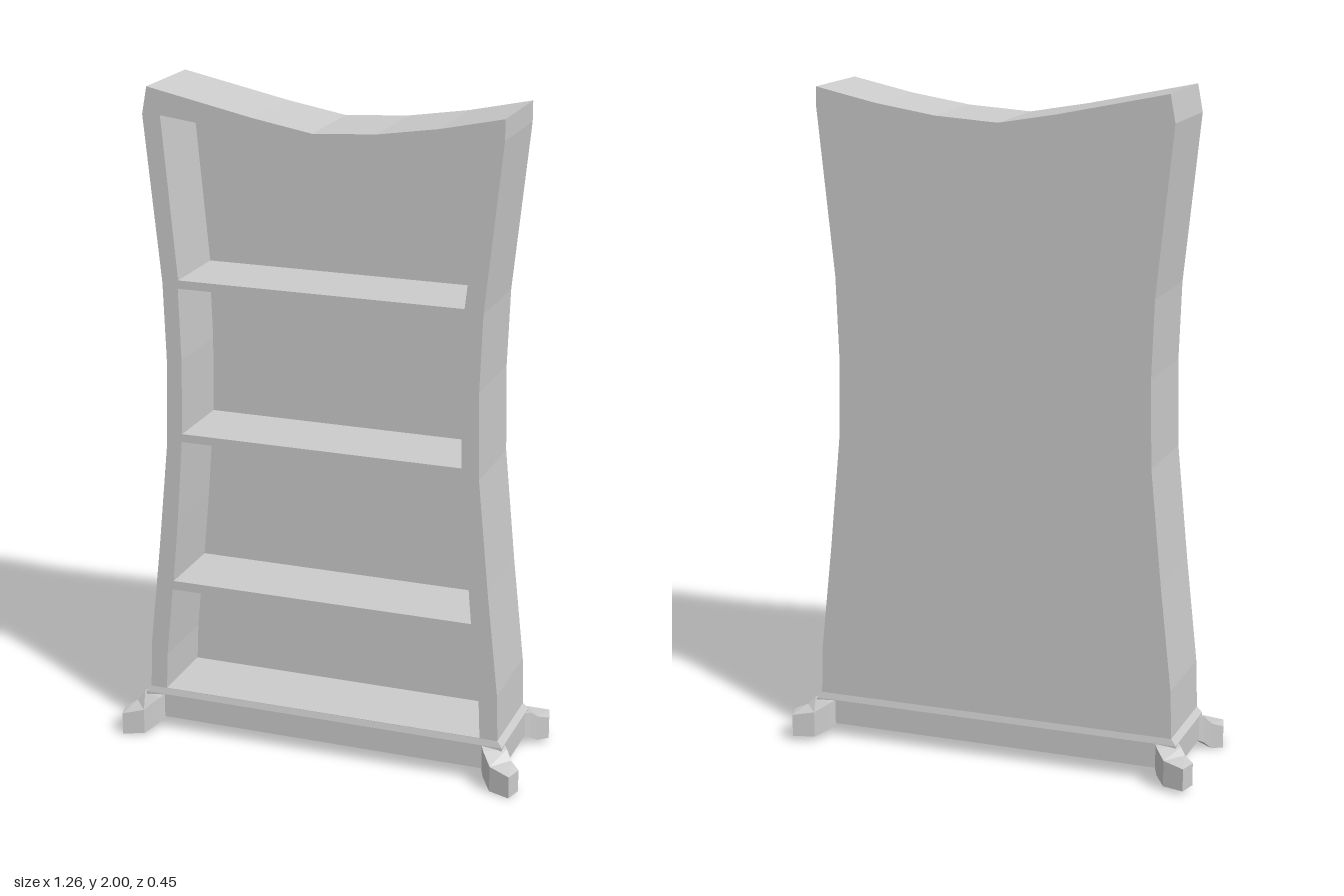
import * as THREE from 'three';

const grey = new THREE.MeshStandardMaterial({ color: 0xcccccc, flatShading: true });

// Closed loft through four-cornered rings, counterclockwise seen from the last ring
function loft(rings, flip = false) {
  const out = [];
  const quad = (a, b, c, d) => (flip ? [a, c, b, a, d, c] : [a, b, c, a, c, d]).forEach(p => out.push(...p));
  for (let r = 0; r + 1 < rings.length; r++) {
    const lo = rings[r], hi = rings[r + 1];
    for (let i = 0; i < 4; i++) {
      const j = (i + 1) % 4;
      quad(lo[i], lo[j], hi[j], hi[i]);
    }
  }
  quad(...[...rings[0]].reverse());
  quad(...rings[rings.length - 1]);
  const g = new THREE.BufferGeometry();
  g.setAttribute('position', new THREE.Float32BufferAttribute(out, 3));
  g.computeVertexNormals();
  return g;
}

const toPoints = list => list.map(([x, y]) => new THREE.Vector2(x, y));

export function createModel() {
  const model = new THREE.Group();
  const add = (name, geometry) => {
    const mesh = new THREE.Mesh(geometry, grey);
    mesh.name = name;
    model.add(mesh);
    return mesh;
  };

  // Waisted outline with a sagging, slightly lopsided top
  const side = [[0.555, 0.13], [0.55, 0.28], [0.515, 0.6], [0.482, 0.94], [0.477, 1.2], [0.485, 1.43], [0.535, 1.92]];
  const top = [[0.535, 1.98], [0.35, 1.94], [0.17, 1.912], [-0.02, 1.9], [-0.2, 1.932], [-0.36, 1.966], [-0.52, 2]];
  const outline = [...side, ...top, ...side.map(([x, y]) => [-x, y]).reverse()];

  // Four openings, leaving the shelves between them
  const openings = [
    [[-0.435, 1.44], [0.43, 1.44], [0.48, 1.89], [0.33, 1.86], [0.17, 1.832], [-0.02, 1.832], [-0.18, 1.86], [-0.36, 1.905], [-0.48, 1.92]],
    [[-0.433, 0.97], [0.43, 0.97], [0.425, 1.2], [0.43, 1.415], [-0.437, 1.415], [-0.43, 1.2]],
    [[-0.472, 0.495], [0.467, 0.495], [0.449, 0.7], [0.432, 0.945], [-0.435, 0.945], [-0.453, 0.7]],
    [[-0.503, 0.135], [0.5, 0.135], [0.495, 0.25], [0.474, 0.467], [-0.476, 0.467], [-0.498, 0.25]],
  ];

  const frameShape = new THREE.Shape(toPoints(outline));
  frameShape.holes = openings.map(o => new THREE.Path(toPoints(o)));
  add('frameAndShelves', new THREE.ExtrudeGeometry(frameShape, { depth: 0.238, bevelEnabled: false }))
    .position.z = -0.1;
  add('backPanel', new THREE.ExtrudeGeometry(new THREE.Shape(toPoints(outline)), { depth: 0.038, bevelEnabled: false }))
    .position.z = -0.138;

  // Plinth with a sloped upper edge
  const level = (x, y, z) => [[-x, y, z], [x, y, z], [x, y, -z], [-x, y, -z]];
  add('plinth', loft([level(0.57, 0.04, 0.143), level(0.57, 0.115, 0.143), level(0.555, 0.134, 0.138)]));

  // Splayed feet: each ring is outer x, z, inner x, z, bottom and top
  const footRings = [
    [0.505, 0.135, 0.565, 0.105, 0.04, 0.115],
    [0.52, 0.165, 0.582, 0.128, 0.025, 0.108],
    [0.552, 0.205, 0.6, 0.145, 0.003, 0.082],
    [0.616, 0.224, 0.63, 0.17, 0, 0.068],
  ];
  for (const sx of [1, -1]) for (const sz of [1, -1]) {
    // The rear feet curl slightly higher
    const lift = i => (sz < 0 ? [0, 0.002, 0.01, 0.014][i] : 0);
    const rings = footRings.map(([ax, az, bx, bz, lo, hi], i) => {
      const y0 = lo + lift(i), y1 = hi + lift(i);
      return [[ax, y0, az], [bx, y0, bz], [bx, y1, bz], [ax, y1, az]].map(([x, y, z]) => [x * sx, y, z * sz]);
    });
    add((sz > 0 ? 'front' : 'back') + (sx > 0 ? 'Left' : 'Right') + 'Foot', loft(rings, sx * sz < 0));
  }
  return model;
}
